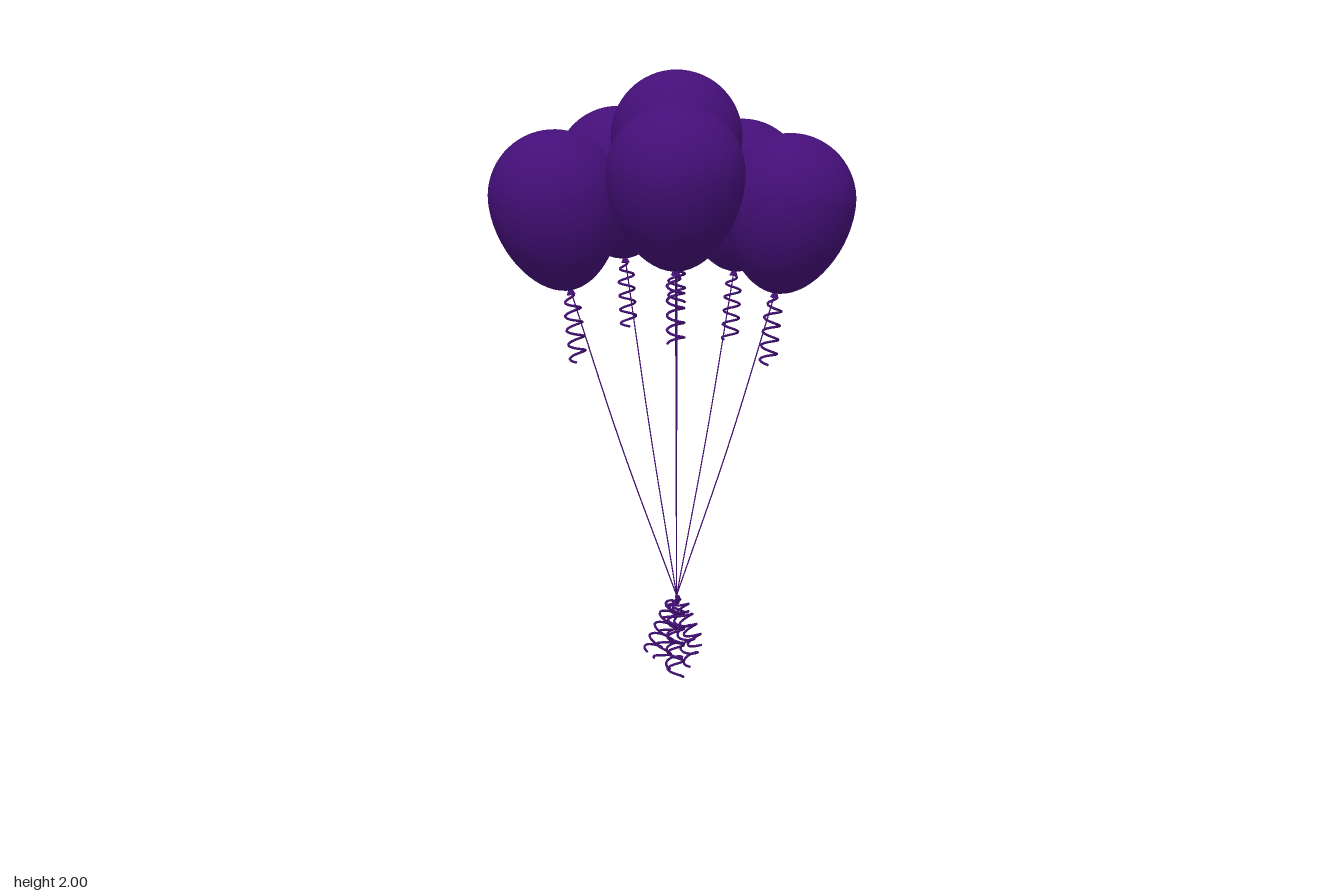
import * as THREE from 'three';

const UP = new THREE.Vector3(0, 1, 0);
const TIE = new THREE.Vector3(0.005, 0.58, -0.02);
const RADIUS = 0.175, DROP = 0.25;

const material = new THREE.MeshStandardMaterial({ color: 0x440f78, side: THREE.DoubleSide });

function addMesh(parent, name, geometry) {
  const mesh = new THREE.Mesh(geometry, material);
  mesh.name = name;
  parent.add(mesh);
  return mesh;
}

// Egg profile: round crown, longer tapering lower half, origin at the widest ring
function balloonGeometry() {
  const points = [];
  const steps = 32;
  for (let i = 0; i <= steps; i++) {
    const a = -Math.PI / 2 + (Math.PI * i) / steps;
    const s = Math.sin(a), low = Math.max(0, -s);
    points.push(new THREE.Vector2(
      Math.max(0, RADIUS * Math.cos(a) * (1 - 0.1 * low * low)),
      s * (s < 0 ? DROP : RADIUS)));
  }
  return new THREE.LatheGeometry(points, 48);
}

// Coiled ribbon end running from one point to another
function curlGeometry(from, to, radius, turns, phase) {
  const dir = to.clone().sub(from).normalize();
  const turn = new THREE.Quaternion().setFromUnitVectors(UP, dir);
  const points = [];
  const count = turns * 12;
  for (let i = 0; i <= count; i++) {
    const t = i / count, a = phase + t * turns * Math.PI * 2;
    const r = radius * Math.min(1, t * 5);
    points.push(new THREE.Vector3(Math.cos(a) * r, 0, Math.sin(a) * r)
      .applyQuaternion(turn).add(from.clone().lerp(to, t)));
  }
  return new THREE.TubeGeometry(new THREE.CatmullRomCurve3(points), count * 2, 0.0035, 5);
}

export function createModel() {
  const model = new THREE.Group();
  model.name = 'balloonBunch';

  // Centre of the widest ring of each balloon, and where its loose lower curl ends
  const balloons = [
    { at: [0.005, 1.825, -0.025], tail: [0.0, 0.36, 0.015] },
    { at: [-0.32, 1.67, 0.035], tail: [-0.065, 0.42, -0.03] },
    { at: [0.30, 1.66, 0.045], tail: [0.06, 0.44, -0.01] },
    { at: [-0.02, 1.74, 0.325], tail: [0.0, 0.37, -0.055] },
    { at: [-0.14, 1.73, -0.335], tail: [-0.04, 0.41, 0.02] },
    { at: [0.205, 1.695, -0.295], tail: [0.05, 0.38, -0.045] }
  ];
  const skin = balloonGeometry();
  const neck = new THREE.CylinderGeometry(0.005, 0.012, 0.016, 16);

  balloons.forEach(({ at, tail }, i) => {
    const group = new THREE.Group();
    group.name = 'balloon' + (i + 1);
    model.add(group);

    // Balloon leans outward, away from the tie
    const centre = new THREE.Vector3(...at);
    const lean = new THREE.Vector3((centre.x - TIE.x) * 0.5, 1, (centre.z - TIE.z) * 0.5).normalize();
    const knot = centre.clone().addScaledVector(lean, -DROP);
    const body = addMesh(group, 'balloonSkin', skin);
    body.position.copy(centre);
    body.quaternion.setFromUnitVectors(UP, lean);

    const knotMesh = addMesh(group, 'knot', neck);
    knotMesh.position.copy(knot).addScaledVector(lean, -0.004);
    knotMesh.quaternion.copy(body.quaternion);

    // String bows slightly outward on its way to the tie
    const middle = knot.clone().lerp(TIE, 0.5);
    middle.x += (knot.x - TIE.x) * 0.03;
    middle.z += (knot.z - TIE.z) * 0.03;
    const path = new THREE.CatmullRomCurve3([knot, middle, TIE]);
    addMesh(group, 'string', new THREE.TubeGeometry(path, 24, 0.0018, 5));

    // Curled ribbon under the knot
    const curlEnd = knot.clone().lerp(TIE, 0.07);
    curlEnd.y = knot.y - 0.19;
    addMesh(group, 'upperCurl', curlGeometry(knot, curlEnd, 0.022, 5, i));

    // Curled ribbon under the tie
    addMesh(group, 'lowerCurl', curlGeometry(TIE, new THREE.Vector3(...tail), 0.022, 5, i * 1.3));
  });

  // Hair-thin holding thread down to the ground
  const thread = addMesh(model, 'holdingThread', new THREE.CylinderGeometry(0.0005, 0.0005, TIE.y, 4));
  thread.position.set(TIE.x, TIE.y / 2, TIE.z);

  return model;
}
